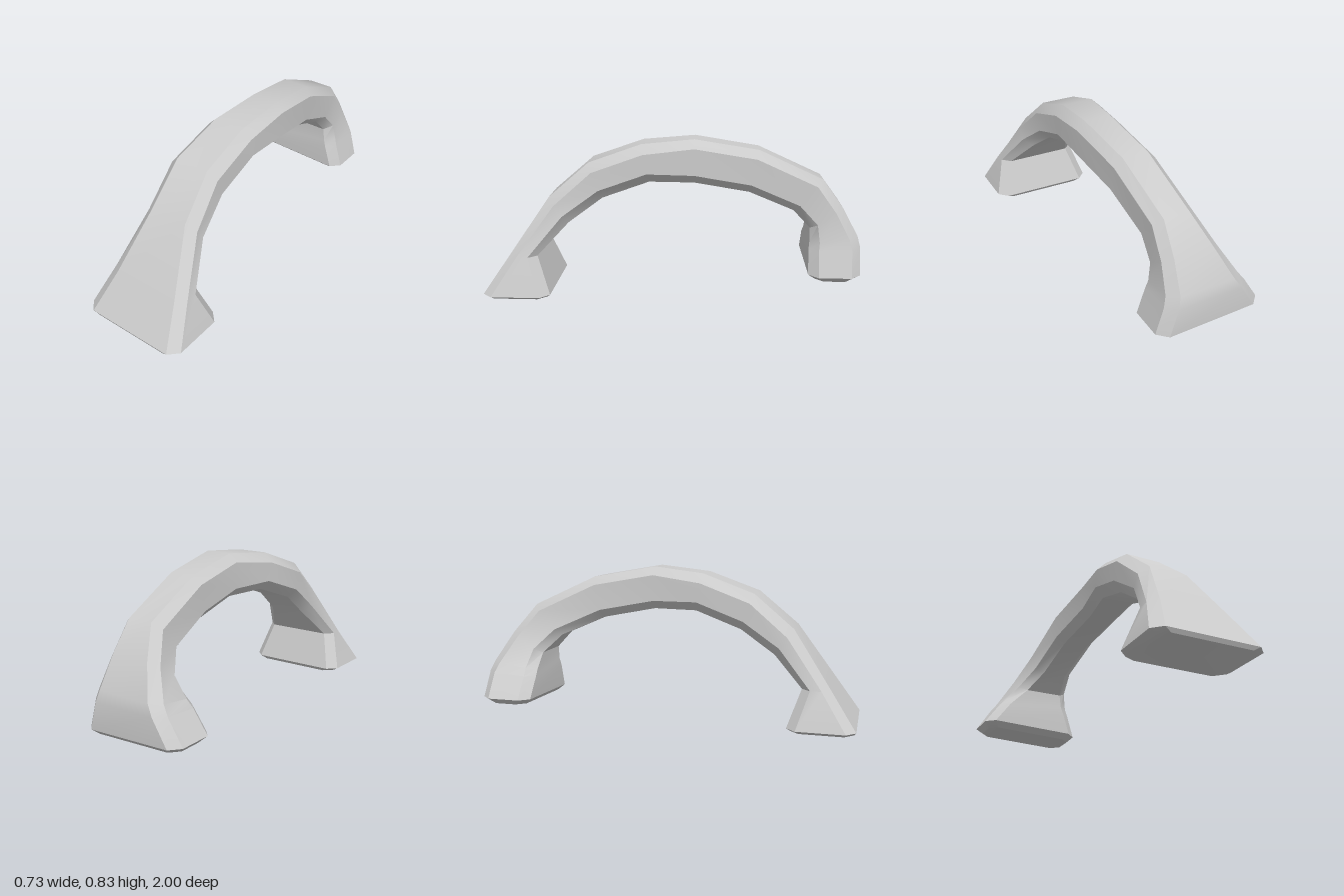
import * as THREE from 'three';
import { toCreasedNormals } from 'three/addons/utils/BufferGeometryUtils.js';

// Cross-sections from front foot to back foot:
// [outer z, outer y, inner z, inner y, x min, x max, bevel, sideways tilt]
const SECTIONS = [
  [0.99, 0, 0.66, 0, -0.19, 0.33, 0.05, 0],
  [1, 0.02, 0.645, 0.02, -0.223, 0.365, 0.05, 0],
  [0.864, 0.22, 0.715, 0.22, -0.155, 0.305, 0.045, 0],
  [0.66, 0.52, 0.56, 0.38, -0.09, 0.22, 0.05, 0],
  [0.45, 0.70, 0.38, 0.51, -0.10, 0.19, 0.05, 0],
  [0.17, 0.80, 0.13, 0.60, -0.08, 0.19, 0.05, 0],
  [-0.11, 0.83, -0.11, 0.60, -0.04, 0.195, 0.045, 0],
  [-0.45, 0.77, -0.40, 0.545, -0.07, 0.16, 0.045, 0],
  [-0.79, 0.61, -0.64, 0.44, -0.10, 0.13, 0.045, 0],
  [-0.90, 0.46, -0.73, 0.345, -0.17, 0.135, 0.045, 0],
  [-0.985, 0.305, -0.73, 0.27, -0.25, 0.15, 0.05, 0],
  [-1, 0.25, -0.725, 0.23, -0.285, 0.165, 0.05, -0.02],
  [-1, 0.11, -0.725, 0.11, -0.368, 0.205, 0.05, -0.04],
  [-0.965, 0.08, -0.76, 0.08, -0.335, 0.175, 0.045, -0.04],
];

// Bevelled eight-point ring around one cross-section
function ring([oz, oy, iz, iy, x0, x1, c, tilt]) {
  const f = c / Math.hypot(oz - iz, oy - iy);
  const corners = [
    [x0 + c, 0], [x1 - c, 0], [x1, f], [x1, 1 - f],
    [x1 - c, 1], [x0 + c, 1], [x0, 1 - f], [x0, f],
  ];
  return corners.flatMap(([x, t]) => [
    x, oy + (iy - oy) * t + tilt * (x + 0.08), oz + (iz - oz) * t,
  ]);
}

function loftGeometry(sections) {
  const n = 8, last = (sections.length - 1) * n;
  const index = [];
  for (let s = 0; s < last; s += n) {
    for (let i = 0; i < n; i++) {
      const a = s + i, b = s + (i + 1) % n;
      index.push(a, b, b + n, a, b + n, a + n);
    }
  }
  // Flat soles
  for (let i = 1; i < n - 1; i++) {
    index.push(0, i + 1, i, last, last + i, last + i + 1);
  }
  const geometry = new THREE.BufferGeometry();
  geometry.setAttribute('position', new THREE.Float32BufferAttribute(sections.flatMap(ring), 3));
  geometry.setIndex(index);
  return toCreasedNormals(geometry, 0.6);
}

export function createModel() {
  const group = new THREE.Group();
  group.name = 'archedHandle';
  // Bowed grip with a flared foot at each end
  const grip = new THREE.Mesh(
    loftGeometry(SECTIONS),
    new THREE.MeshStandardMaterial({ color: 0xcccccc }),
  );
  grip.name = 'gripAndFeet';
  group.add(grip);
  return group;
}
